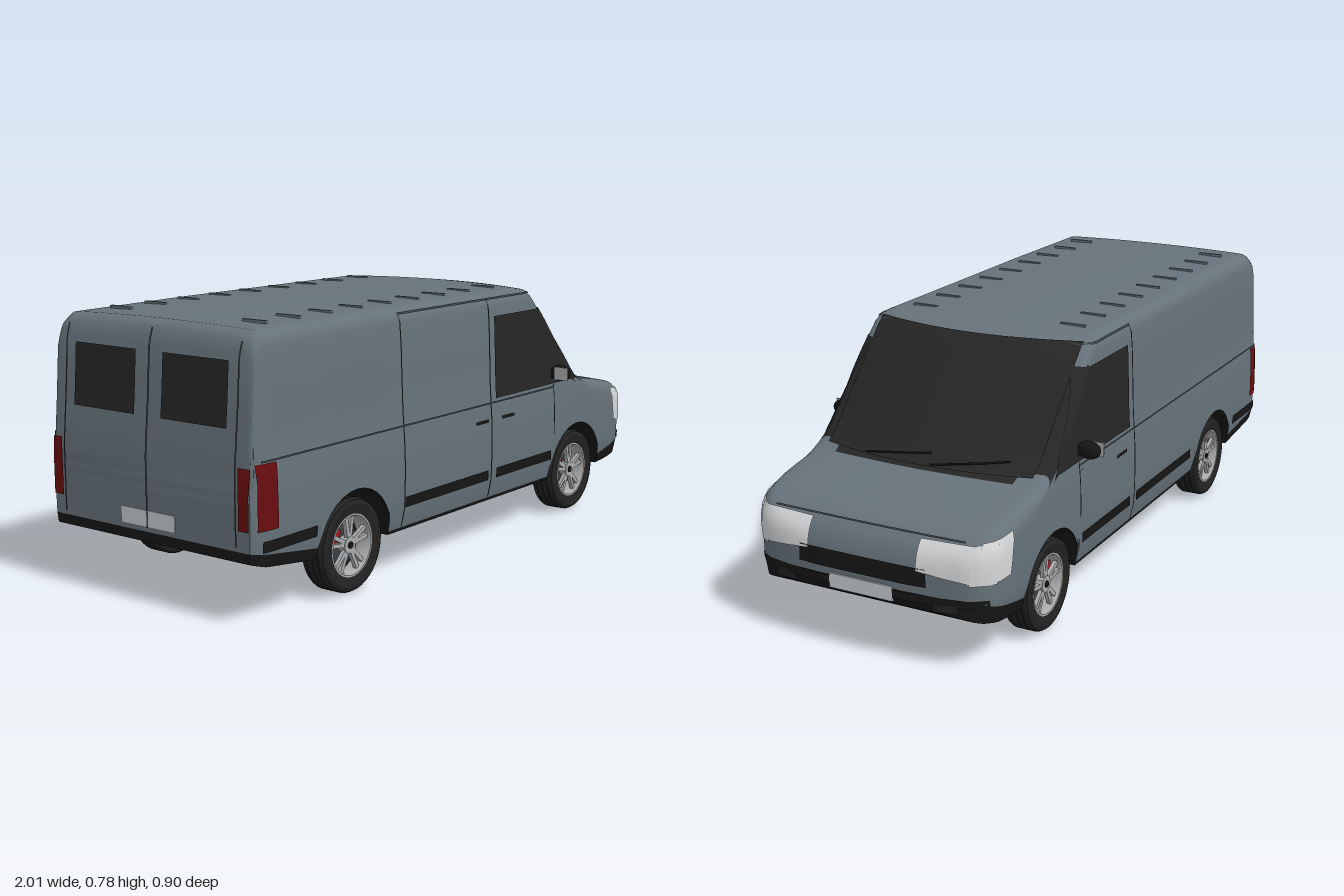
import * as THREE from 'three';
import { toCreasedNormals } from 'three/addons/utils/BufferGeometryUtils.js';

const mat = (name, color) => new THREE.MeshStandardMaterial({ name, color, side: THREE.DoubleSide });
const paint = mat('grey paint', 0x66727a), trim = mat('black trim', 0x161616), glass = mat('dark glass', 0x262626),
  seam = mat('seam grey', 0x394045), tyreMat = mat('tyre rubber', 0x222222), lamp = mat('clear lamp', 0xd6d8da),
  red = mat('tail lamp red', 0x6a0d0f), plateMat = mat('plate', 0xc6cbd0), alloy = mat('alloy', 0xa9abad),
  caliperRed = mat('caliper red', 0xb01818);

// Piecewise linear lookup in [[x, value], ...]
function look(table, x) {
  if (x <= table[0][0]) return table[0][1];
  for (let i = 1; i < table.length; i++) {
    const [x0, v0] = table[i - 1], [x1, v1] = table[i];
    if (x <= x1) return v0 + (v1 - v0) * (x - x0) / (x1 - x0);
  }
  return table[table.length - 1][1];
}

const WHEELS = [-0.58, 0.62], AXLE = 0.14, ARCH = 0.162;
const roofLine = [[-1, 0.42], [-0.985, 0.58], [-0.975, 0.72], [-0.96, 0.765], [-0.935, 0.783], [-0.5, 0.787], [0.32, 0.787],
  [0.38, 0.78], [0.41, 0.765], [0.7, 0.452], [0.8, 0.435], [0.9, 0.41], [0.95, 0.385], [0.98, 0.35], [0.994, 0.315], [1, 0.285]];
const floorLine = [[-1, 0.18], [-0.95, 0.165], [-0.73, 0.135], [0.78, 0.135], [0.9, 0.145], [0.96, 0.158], [0.985, 0.175], [1, 0.195]];
const skirtLine = [[-1, 0.205], [-0.73, 0.165], [-0.7, 0.142], [0.75, 0.142], [0.78, 0.165], [0.9, 0.19], [1, 0.222]];
const planWidth = [[-1, 0.95], [-0.99, 0.972], [-0.97, 0.993], [-0.94, 1], [0.82, 1], [0.88, 0.99], [0.92, 0.968], [0.95, 0.925],
  [0.975, 0.82], [0.99, 0.62], [1, 0.35]];
const sideWidth = [[0.12, 0.365], [0.2, 0.384], [0.3, 0.387], [0.42, 0.384], [0.46, 0.378], [0.7, 0.369], [0.79, 0.36]];
const shoulder = [[0.3, 0.042], [0.42, 0.022], [0.66, 0.022], [0.74, 0.045]];

// Half cross-section at x, from the floor centre up the side to the roof centre
function section(x) {
  let yB = look(floorLine, x);
  for (const c of WHEELS)
    if (Math.abs(x - c) < ARCH) yB = Math.max(yB, AXLE + Math.sqrt(ARCH ** 2 - (x - c) ** 2));
  const yT = look(roofLine, x) - 0.006, yS = Math.max(yB, look(skirtLine, x)) + 0.003, p = look(planWidth, x);
  const half = y => look(sideWidth, y) * p;
  const r = Math.min(look(shoulder, x), (yT - yS) * 0.7, 0.1 * p);
  const pts = [[yB, 0], [yB, half(yB) * 0.6], [yB, half(yB)], [yS, half(yS)]];
  for (let k = 1; k <= 10; k++) { const y = yS + (yT - r - yS) * k / 10; pts.push([y, half(y)]); }
  const w = half(yT - r) - r;
  for (let k = 1; k <= 5; k++) {
    const a = k / 5 * Math.PI / 2;
    pts.push([yT - r + r * Math.sin(a), w + r * Math.cos(a)]);
  }
  for (let k = 5; k >= 0; k--) pts.push([yT + 0.006 * (1 - (k / 6) ** 2), w * k / 6]);
  // The windscreen bows back towards the pillars
  return pts.map(([y, z]) => {
    const bow = 0.065 * THREE.MathUtils.smoothstep(x, 0.22, 0.42) * THREE.MathUtils.smoothstep(y, 0.4, 0.48);
    return [x - bow * (z / 0.37) ** 2, y, z];
  });
}

function bodyShell() {
  let xs = [-1, -0.99, -0.985, -0.975, -0.968, -0.96, -0.95, -0.935, 0.41, 0.92, 0.935, 0.95, 0.963, 0.975, 0.983, 0.99, 0.995, 1];
  for (let x = -0.9; x < 0.91; x += x > 0.3 && x < 0.7 ? 0.02 : 0.04) xs.push(x);
  for (const c of WHEELS) {
    xs = xs.filter(x => Math.abs(x - c) > ARCH + 0.002);
    for (let k = 0; k <= 16; k++) xs.push(c + ARCH * Math.cos(k / 16 * Math.PI));
  }
  xs.sort((a, b) => a - b);
  xs = xs.filter((x, i) => i === 0 || x - xs[i - 1] > 0.001);
  const pos = [], faces = [[], [], []], rings = xs.map(section), M = rings[0].length;
  for (const ring of rings) for (const [x, y, z] of ring) pos.push(x, y, z, x, y, -z);
  const id = (i, j, s) => (i * M + j) * 2 + s;
  const quad = (m, a, b, c, d) => faces[m].push(a, b, c, a, c, d);
  const last = rings.length - 1;
  for (let j = 0; j < M - 1; j++) {
    const base = j < 3 ? 1 : 0;
    for (let i = 0; i < last; i++) {
      const [x, y] = rings[i][j].map((v, k) => (v + rings[i + 1][j + 1][k]) / 2);
      const m = y > 0.457 && y < 0.705 && x > 0.37 + (0.71 - y) * 0.8 ? 2 : base;
      quad(m, id(i, j, 0), id(i + 1, j, 0), id(i + 1, j + 1, 0), id(i, j + 1, 0));
      quad(m, id(i, j, 1), id(i, j + 1, 1), id(i + 1, j + 1, 1), id(i + 1, j, 1));
    }
    quad(base, id(last, j, 0), id(last, j, 1), id(last, j + 1, 1), id(last, j + 1, 0));
    quad(base, id(0, j, 1), id(0, j, 0), id(0, j + 1, 0), id(0, j + 1, 1));
  }
  const geo = new THREE.BufferGeometry();
  geo.setAttribute('position', new THREE.Float32BufferAttribute(pos, 3));
  geo.setIndex(faces.flat());
  let start = 0;
  faces.forEach((f, m) => { geo.addGroup(start, f.length, m); start += f.length; });
  const mesh = new THREE.Mesh(toCreasedNormals(geo, 0.7), [paint, trim, glass]);
  mesh.name = 'bodyShell';
  return mesh;
}

export function createModel() {
  const van = new THREE.Group();
  van.name = 'van';
  const body = bodyShell();
  van.add(body);
  const add = (name, geo, m, x, y, z, parent = van) => {
    const o = new THREE.Mesh(geo, m);
    o.name = name; o.position.set(x, y, z); parent.add(o);
    return o;
  };

  // Thin skins laid onto the body: corners are (x, y) on a side, (z, y) on front or back
  const ray = new THREE.Raycaster(), V = (x, y, z) => new THREE.Vector3(x, y, z);
  const onBody = (face, u, v) => {
    const [o, d] = { left: [V(u, v, 2), V(0, 0, -1)], right: [V(u, v, -2), V(0, 0, 1)],
      front: [V(2, v, u), V(-1, 0, 0)], back: [V(-2, v, u), V(1, 0, 0)] }[face];
    ray.set(o, d);
    const hit = ray.intersectObject(body)[0];
    return hit && hit.point.addScaledVector(hit.face.normal, 0.004);
  };
  function skin(name, m, face, c) {
    const len = (a, b) => Math.max(1, Math.ceil(Math.hypot(a[0] - b[0], a[1] - b[1]) / 0.025));
    const nu = len(c[0], c[1]), nv = len(c[1], c[2]), pos = [], idx = [], ok = [];
    for (let j = 0; j <= nv; j++) for (let i = 0; i <= nu; i++) {
      const s = i / nu, t = j / nv;
      const [u, v] = [0, 1].map(k => (c[0][k] * (1 - s) + c[1][k] * s) * (1 - t) + (c[3][k] * (1 - s) + c[2][k] * s) * t);
      const p = onBody(face, u, v);
      ok.push(!!p); pos.push(...(p ? p.toArray() : [0, 0.3, 0]));
    }
    const flip = face === 'right' || face === 'front';
    for (let j = 0; j < nv; j++) for (let i = 0; i < nu; i++) {
      const a = j * (nu + 1) + i, b = a + 1, d = a + nu + 1, e = d + 1;
      if (ok[a] && ok[b] && ok[d] && ok[e]) idx.push(...(flip ? [a, e, b, a, d, e] : [a, b, e, a, e, d]));
    }
    const geo = new THREE.BufferGeometry();
    geo.setAttribute('position', new THREE.Float32BufferAttribute(pos, 3));
    geo.setIndex(idx);
    geo.computeVertexNormals();
    add(name, geo, m, 0, 0, 0);
  }
  const rect = (u0, u1, v0, v1) => [[u0, v0], [u1, v0], [u1, v1], [u0, v1]];

  // Side windows, seams, rub strips, handles and wrapped lamps
  for (const f of ['left', 'right']) {
    skin('sideWindow', glass, f, [[0.12, 0.457], [0.61, 0.457], [0.405, 0.71], [0.12, 0.71]]);
    skin('doorSeam', seam, f, rect(0.088, 0.094, 0.15, 0.765));
    skin('doorSeam', seam, f, rect(0.462, 0.467, 0.29, 0.455));
    skin('doorTopSeam', seam, f, rect(0.094, 0.36, 0.76, 0.765));
    skin('waistSeam', seam, f, rect(-0.97, 0.462, 0.443, 0.448));
    if (f === 'left') {
      skin('slidingDoorSeam', seam, f, rect(-0.365, -0.36, 0.15, 0.765));
      skin('slidingDoorTopSeam', seam, f, rect(-0.36, 0.09, 0.76, 0.765));
      skin('doorHandle', trim, f, rect(0.005, 0.075, 0.388, 0.398));
    }
    skin('doorHandle', trim, f, rect(0.15, 0.22, 0.388, 0.398));
    for (const [a, b] of [[-0.97, -0.755], [-0.36, 0.075], [0.12, 0.45]]) skin('rubStrip', trim, f, rect(a, b, 0.207, 0.238));
    skin('tailLampSide', red, f, rect(-0.985, -0.915, 0.265, 0.44));
    skin('headlampSide', lamp, f, [[0.87, 0.275], [0.975, 0.265], [0.965, 0.372], [0.85, 0.39]]);
  }

  // Front face
  skin('windscreen', glass, 'front', rect(-0.335, 0.335, 0.457, 0.768));
  skin('grille', trim, 'front', rect(-0.2, 0.2, 0.247, 0.297));
  skin('bonnetSeam', seam, 'front', rect(-0.3, 0.3, 0.374, 0.378));
  skin('bumperBand', trim, 'front', rect(-0.36, 0.36, 0.2, 0.224));
  add('frontPlate', new THREE.BoxGeometry(0.012, 0.042, 0.2), plateMat, 0.999, 0.21, 0);
  for (const s of [1, -1]) {
    skin('headlamp', lamp, 'front', [[0.17 * s, 0.29], [0.372 * s, 0.265], [0.372 * s, 0.372], [0.17 * s, 0.368]]);
    skin('fogLamp', tyreMat, 'front', rect(0.22 * s, 0.288 * s, 0.182, 0.206));
  }
  // Wipers resting on the glass
  for (const [z0, z1] of [[0.18, -0.03], [-0.04, -0.26]]) {
    const pts = [0, 0.33, 0.67, 1].map(t => onBody('front', z0 + (z1 - z0) * t, 0.46 + 0.026 * t).add(V(0.006, 0.004, 0)));
    add('wiper', new THREE.TubeGeometry(new THREE.CatmullRomCurve3(pts), 12, 0.003, 5), trim, 0, 0, 0);
  }

  // Rear doors
  skin('rearDoorSeam', seam, 'back', rect(-0.003, 0.003, 0.22, 0.76));
  add('rearPlate', new THREE.BoxGeometry(0.008, 0.045, 0.2), plateMat, -0.998, 0.245, 0);
  for (const s of [1, -1]) {
    skin('rearWindow', glass, 'back', rect(0.05 * s, 0.285 * s, 0.525, 0.7));
    skin('tailLamp', red, 'back', rect(0.33 * s, 0.366 * s, 0.265, 0.43));
    skin('rearDoorEdge', seam, 'back', rect(0.318 * s, 0.323 * s, 0.22, 0.75));
  }

  // Underfloor and roof ribs
  add('underfloor', new THREE.BoxGeometry(1.6, 0.022, 0.51), trim, 0.02, 0.134, 0);
  for (let k = 0; k < 9; k++) for (const s of [1, -1])
    add('roofRib', new THREE.BoxGeometry(0.01, 0.008, 0.08), paint, -0.84 + k * 0.135, 0.784, 0.25 * s);

  // Door mirrors
  for (const s of [1, -1]) {
    const shell = add('mirrorShell', new THREE.SphereGeometry(1, 20, 14), trim, 0.46, 0.495, 0.412 * s);
    shell.scale.set(0.018, 0.027, 0.036);
    add('mirrorArm', new THREE.BoxGeometry(0.015, 0.02, 0.04), trim, 0.46, 0.487, 0.385 * s);
    add('mirrorGlass', new THREE.BoxGeometry(0.004, 0.042, 0.05), alloy, 0.442, 0.495, 0.424 * s);
  }

  // Wheels: grooved tyre, alloy rim with paired spokes, disc and caliper
  const tyrePts = [[0.09, -0.036], [0.118, -0.042], [0.13, -0.037]];
  for (const y of [-0.02, 0, 0.02]) tyrePts.push([0.135, y - 0.008], [0.135, y - 0.002], [0.131, y - 0.002], [0.131, y + 0.002], [0.135, y + 0.002], [0.135, y + 0.008]);
  tyrePts.push([0.13, 0.037], [0.118, 0.042], [0.09, 0.036]);
  const lathe = pts => toCreasedNormals(new THREE.LatheGeometry(pts.map(p => new THREE.Vector2(...p)), 40).rotateX(Math.PI / 2), 0.6);
  const tyreGeo = lathe(tyrePts);
  const rimGeo = lathe([[0.085, -0.036], [0.092, -0.036], [0.092, 0.036], [0.085, 0.036], [0.081, 0.025], [0.081, -0.025], [0.085, -0.036]]);
  const disc = (r, h) => new THREE.CylinderGeometry(r, r, h, 32).rotateX(Math.PI / 2);
  for (const x of WHEELS) for (const s of [1, -1]) {
    const wheel = new THREE.Group();
    wheel.name = 'wheel'; wheel.position.set(x, AXLE, 0.332 * s);
    van.add(wheel);
    add('tyre', tyreGeo, tyreMat, 0, 0, 0, wheel);
    add('rim', rimGeo, alloy, 0, 0, 0, wheel);
    add('backing', disc(0.083, 0.006), trim, 0, 0, -0.015 * s, wheel);
    add('brakeDisc', disc(0.058, 0.008), seam, 0, 0, 0, wheel);
    add('hub', disc(0.024, 0.03), alloy, 0, 0, 0.014 * s, wheel);
    add('hubCap', disc(0.01, 0.004), trim, 0, 0, 0.03 * s, wheel);
    add('caliper', new THREE.BoxGeometry(0.026, 0.046, 0.018), caliperRed, -0.046, 0.028, 0.006 * s, wheel).rotation.z = -0.5;
    for (let k = 0; k < 5; k++) for (const t of [-0.17, 0.17]) {
      const a = Math.PI / 2 + k * Math.PI * 0.4 + t;
      const spoke = add('spoke', new THREE.BoxGeometry(0.066, 0.012, 0.012), alloy, Math.cos(a) * 0.052, Math.sin(a) * 0.052, 0.021 * s, wheel);
      spoke.rotation.z = a;
    }
  }
  return van;
}
